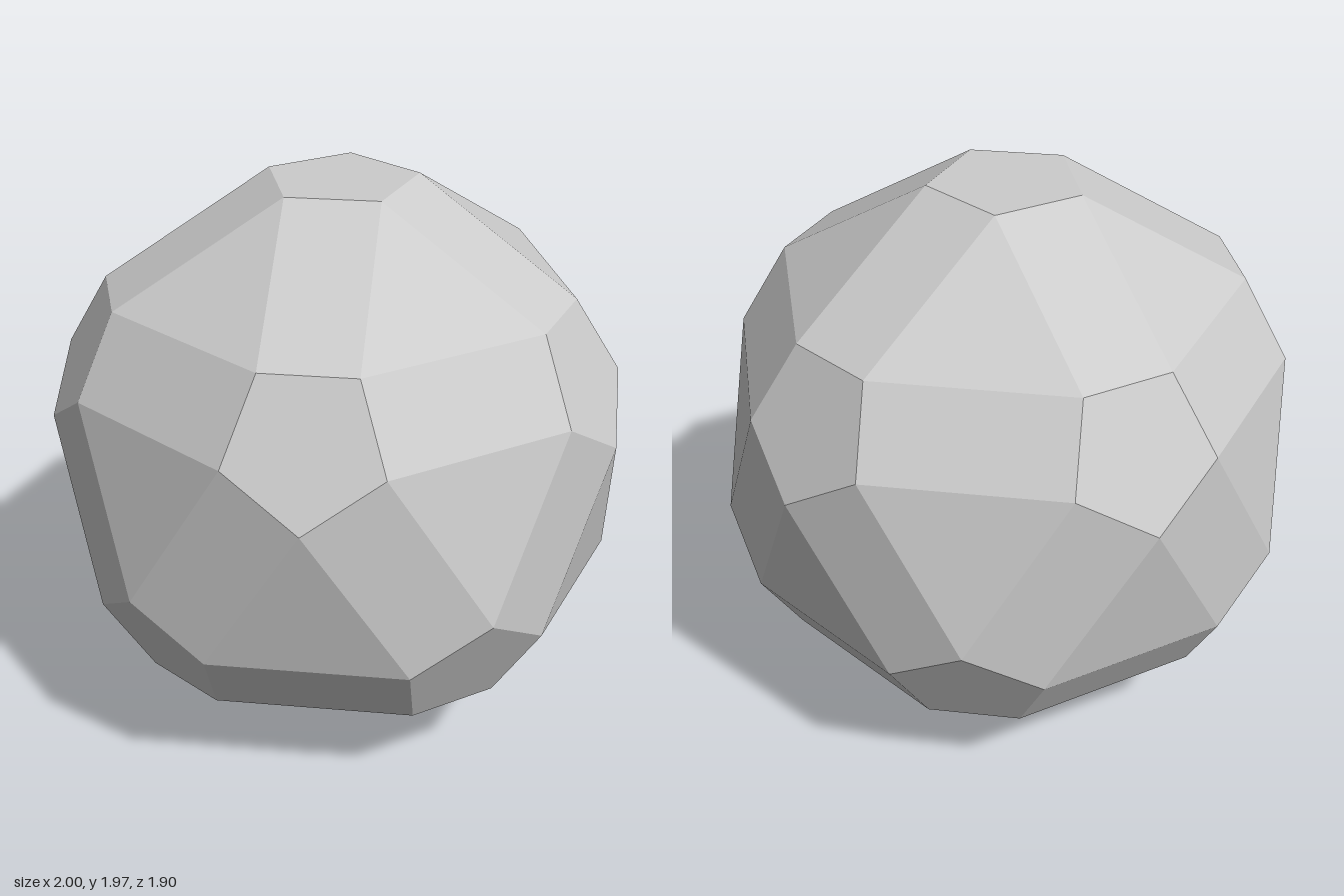
import * as THREE from 'three';
import { ConvexGeometry } from 'three/addons/geometries/ConvexGeometry.js';

const PENTAGON_RADIUS = 0.267; // corner radius of the twelve small pentagons
const FACE_DISTANCE = 0.9846;  // centre of the solid to each pentagon

// Twelve icosahedral axes: top, bottom and two staggered rings of five
function pentagonAxes() {
  const up = new THREE.Vector3(0, 1, 0);
  const axes = [up, up.clone().negate()];
  for (let i = 0; i < 5; i++) {
    const a = (i * Math.PI * 2) / 5;
    const axis = new THREE.Vector3(2 * Math.cos(a), 1, 2 * Math.sin(a)).normalize();
    axes.push(axis, axis.clone().negate());
  }
  return axes;
}

// Each pentagon has its edges toward its five neighbours, its corners away from them
function pentagonCorners(axis, axes) {
  return axes
    .filter((other) => Math.abs(axis.dot(other) - Math.sqrt(0.2)) < 0.01)
    .map((other) => {
      const toward = other.clone().addScaledVector(axis, -axis.dot(other)).normalize();
      return axis.clone().multiplyScalar(FACE_DISTANCE).addScaledVector(toward, -PENTAGON_RADIUS);
    });
}

export function createModel() {
  const group = new THREE.Group();
  group.name = 'polyhedron';

  // Hull of the sixty corners: 12 pentagons, 30 rectangles, 20 triangles
  const axes = pentagonAxes();
  const corners = axes.flatMap((axis) => pentagonCorners(axis, axes));
  const solid = new THREE.Mesh(
    new ConvexGeometry(corners),
    new THREE.MeshStandardMaterial({ color: 0xcccccc, flatShading: true })
  );
  solid.name = 'facetedBall';
  solid.position.y = FACE_DISTANCE; // rest on the bottom pentagon
  group.add(solid);
  return group;
}
